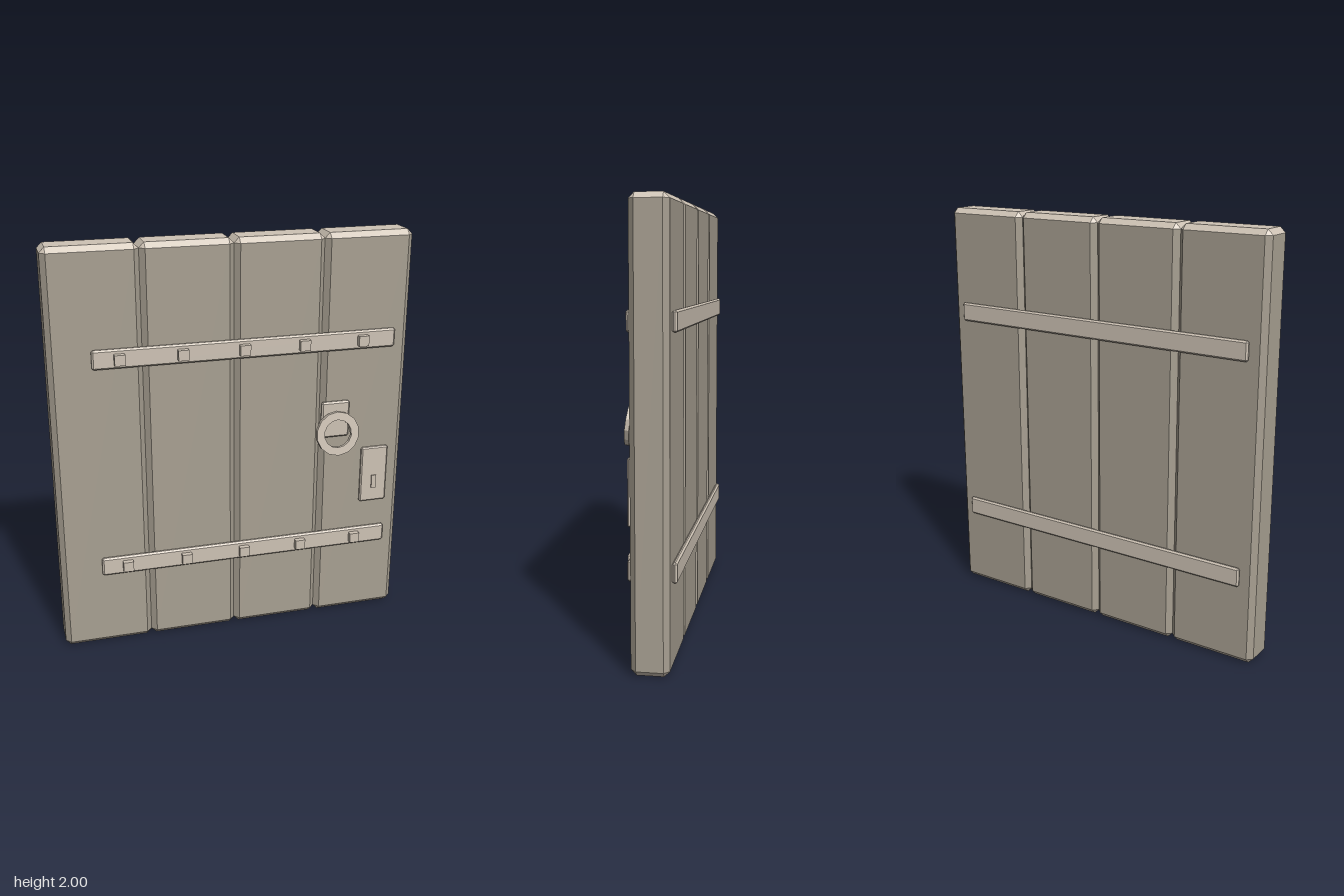
import * as THREE from 'three';
import { ConvexGeometry } from 'three/addons/geometries/ConvexGeometry.js';

// Box with chamfered edges, centred on the origin.
// Material group 0 holds the long faces, group 1 the ends (faces turned up or down).
function chamferBox(w, h, d, c) {
  const points = [];
  for (const x of [-w / 2, w / 2]) for (const y of [-h / 2, h / 2]) for (const z of [-d / 2, d / 2]) {
    const ix = x - Math.sign(x) * c, iy = y - Math.sign(y) * c, iz = z - Math.sign(z) * c;
    points.push(new THREE.Vector3(x, iy, iz), new THREE.Vector3(ix, y, iz), new THREE.Vector3(ix, iy, z));
  }
  const hull = new ConvexGeometry(points);
  const pos = hull.attributes.position.array, nor = hull.attributes.normal.array;
  const sides = { p: [], n: [] }, ends = { p: [], n: [] };
  for (let i = 0; i < pos.length; i += 9) {
    const target = Math.abs(nor[i + 1]) > 0.3 ? ends : sides;
    target.p.push(...pos.slice(i, i + 9));
    target.n.push(...nor.slice(i, i + 9));
  }
  const geo = new THREE.BufferGeometry();
  geo.setAttribute('position', new THREE.Float32BufferAttribute([...sides.p, ...ends.p], 3));
  geo.setAttribute('normal', new THREE.Float32BufferAttribute([...sides.n, ...ends.n], 3));
  geo.addGroup(0, sides.p.length / 3, 0);
  geo.addGroup(sides.p.length / 3, ends.p.length / 3, 1);
  return geo;
}

export function createModel() {
  const door = new THREE.Group();
  door.name = 'plankDoor';

  const wood = new THREE.MeshStandardMaterial({ color: 0xa8a092 });
  wood.name = 'weathered wood';
  const pale = new THREE.MeshStandardMaterial({ color: 0xcec3b5 });
  pale.name = 'pale fittings';

  function add(name, geometry, material, x, y, z) {
    const mesh = new THREE.Mesh(geometry, material);
    mesh.name = name;
    mesh.position.set(x, y, z);
    door.add(mesh);
    return mesh;
  }

  // Four upright planks with chamfered edges and pale end grain
  const plankWidth = 0.436, frontZ = 0.055, backZ = -0.113;
  for (let i = 0; i < 4; i++) {
    add('plank', chamferBox(plankWidth, 2, frontZ - backZ, 0.025), [wood, pale],
      (i - 1.5) * plankWidth, 1, (frontZ + backZ) / 2);
  }

  // Straps on both faces, with square bolts on the front
  for (const y of [0.435, 1.487]) {
    add('frontStrap', chamferBox(1.47, 0.092, 0.024, 0.008), [pale, pale], 0.06, y, frontZ + 0.012);
    add('backStrap', chamferBox(1.6, 0.092, 0.022, 0.008), [pale, pale], 0, y, backZ - 0.011);
    for (let i = 0; i < 5; i++) {
      add('bolt', new THREE.BoxGeometry(0.05, 0.05, 0.027), pale, -0.55 + i * 0.294, y, 0.0915);
    }
  }

  // Handle: backing plate with a tilted flat ring
  add('handlePlate', chamferBox(0.145, 0.185, 0.024, 0.008), [pale, pale], 0.505, 1.09, frontZ + 0.012);
  const section = [[0.07, -0.01], [0.11, -0.01], [0.11, 0.01], [0.07, 0.01], [0.07, -0.01]]
    .map(([r, t]) => new THREE.Vector2(r, t));
  const ringGeo = new THREE.LatheGeometry(section, 14).rotateX(Math.PI / 2).toNonIndexed();
  ringGeo.computeVertexNormals();
  const ring = add('handleRing', ringGeo, pale, 0.505, 1.03, 0.112);
  ring.rotation.x = -0.14;

  // Lock plate with a small raised keyhole cover
  add('lockPlate', chamferBox(0.14, 0.295, 0.022, 0.006), [pale, pale], 0.724, 0.773, frontZ + 0.011);
  add('keyholeCover', new THREE.BoxGeometry(0.024, 0.07, 0.008), pale, 0.724, 0.733, 0.08);

  return door;
}
